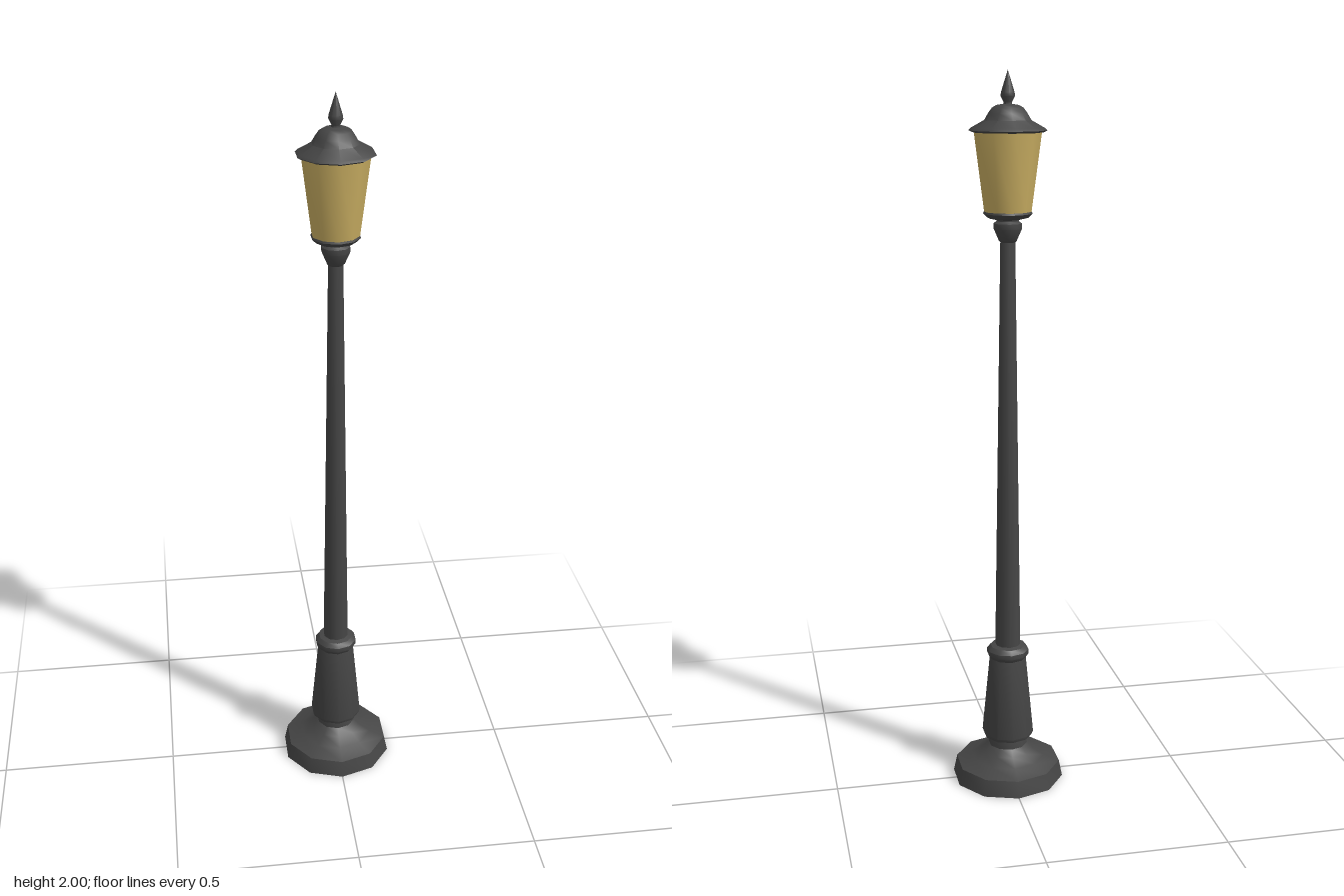
import * as THREE from 'three';
import { toCreasedNormals } from 'three/addons/utils/BufferGeometryUtils.js';

const SIDES = 10;

export function createModel() {
  const group = new THREE.Group();
  const iron = new THREE.MeshStandardMaterial({ color: 0x464646 });
  iron.name = 'dark iron';
  const amber = new THREE.MeshStandardMaterial({ color: 0xc9ae62 });
  amber.name = 'amber glass';

  // Ten-sided turned part from [radius, height] pairs, bottom to top
  const turned = (name, profile, material = iron) => {
    const points = profile.map(([r, y]) => new THREE.Vector2(r, y));
    const geometry = toCreasedNormals(new THREE.LatheGeometry(points, SIDES), 0.632);
    const mesh = new THREE.Mesh(geometry, material);
    mesh.name = name;
    group.add(mesh);
  };

  // Plinth with a swept top
  turned('base', [[0, 0], [0.16, 0], [0.15, 0.047], [0.105, 0.063], [0.074, 0.082],
    [0.056, 0.1], [0.053, 0.132]]);

  // Tapered pedestal and its collar
  turned('pedestal', [[0.05, 0.122], [0.07, 0.128], [0.074, 0.138], [0.052, 0.37]]);
  turned('pedestalCollar', [[0.05, 0.366], [0.06, 0.38], [0.06, 0.393], [0.05, 0.405], [0.03, 0.41]]);

  // Slender pole
  turned('pole', [[0.036, 0.4], [0.02, 1.565]]);

  // Flared collar and cup that carry the lantern
  turned('poleCollar', [[0.019, 1.555], [0.024, 1.56], [0.038, 1.592], [0.038, 1.606],
    [0.03, 1.612], [0.03, 1.622]]);
  turned('lanternCup', [[0.028, 1.615], [0.055, 1.621], [0.066, 1.632], [0.064, 1.637], [0, 1.637]]);

  // Glass
  turned('lanternGlass', [[0.063, 1.635], [0.09, 1.845]], amber);

  // Roof with a thin brim and domed crown
  turned('lanternRoof', [[0, 1.842], [0.095, 1.842], [0.104, 1.847], [0.098, 1.853], [0.062, 1.873],
    [0.052, 1.89], [0.042, 1.904], [0.03, 1.911], [0.012, 1.914]]);

  // Pointed finial
  turned('finial', [[0.012, 1.91], [0.011, 1.918], [0.019, 1.934], [0.018, 1.943], [0, 2]]);

  return group;
}
